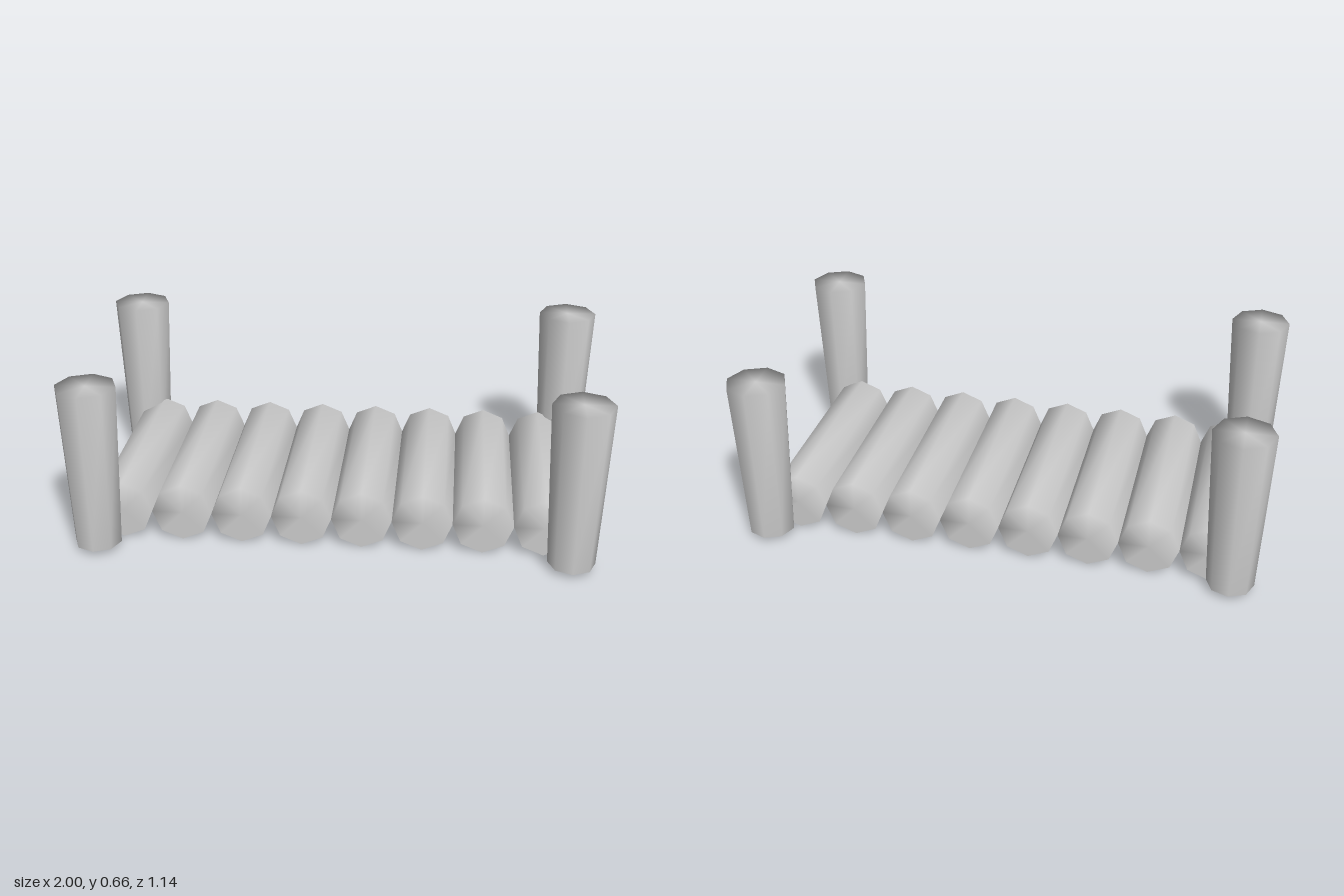
import * as THREE from 'three';
import { mergeGeometries, mergeVertices } from 'three/addons/utils/BufferGeometryUtils.js';

const SIDES = 8;

// Joins pieces and shares their edge vertices, so shading rolls softly over the rims.
function weld(...pieces) {
  const merged = mergeGeometries(pieces);
  merged.deleteAttribute('normal');
  merged.deleteAttribute('uv');
  const welded = mergeVertices(merged, 1e-4);
  welded.computeVertexNormals();
  return welded;
}

// Tapered post, closed on top and open underneath.
function postGeometry(topRadius, bottomRadius, height) {
  const wall = new THREE.CylinderGeometry(topRadius, bottomRadius, height, SIDES, 1, true);
  const cap = new THREE.CircleGeometry(topRadius, SIDES).rotateX(-Math.PI / 2).translate(0, height / 2, 0);
  return weld(wall, cap).translate(0, height / 2, 0);
}

// Log along z: only the upper half has a wall, while both end caps are full octagons.
function logGeometry(radius, length) {
  const wall = new THREE.CylinderGeometry(radius, radius, length, SIDES / 2, 1, true, Math.PI / 2, Math.PI)
    .rotateX(Math.PI / 2);
  const front = new THREE.CircleGeometry(radius, SIDES).translate(0, 0, length / 2);
  const back = new THREE.CircleGeometry(radius, SIDES).rotateY(Math.PI).translate(0, 0, -length / 2);
  return weld(wall, front, back);
}

export function createModel() {
  const model = new THREE.Group();
  model.name = 'logBridge';
  const wood = new THREE.MeshStandardMaterial({ color: 0xcccccc, side: THREE.DoubleSide });
  wood.name = 'plain grey';

  const add = (parent, name, geometry, x, y, z) => {
    const mesh = new THREE.Mesh(geometry, wood);
    mesh.name = name;
    mesh.position.set(x, y, z);
    parent.add(mesh);
  };

  // Row of logs forming the deck
  const deck = new THREE.Group();
  deck.name = 'deck';
  model.add(deck);
  const radius = 0.114;
  const log = logGeometry(radius, 0.79);
  for (let i = 0; i < 8; i++) {
    add(deck, `log${i + 1}`, log, -0.807 + i * 2 * radius, 0.115, -0.014);
  }

  // Corner posts; the back right one stands slightly further in
  const post = postGeometry(0.113, 0.088, 0.637);
  add(model, 'frontLeftPost', post, 0.886, 0.022, 0.456);
  add(model, 'frontRightPost', post, -0.886, 0.022, 0.456);
  add(model, 'backLeftPost', post, 0.886, 0.022, -0.456);
  add(model, 'backRightPost', post, -0.886, 0.022, -0.432);

  return model;
}
